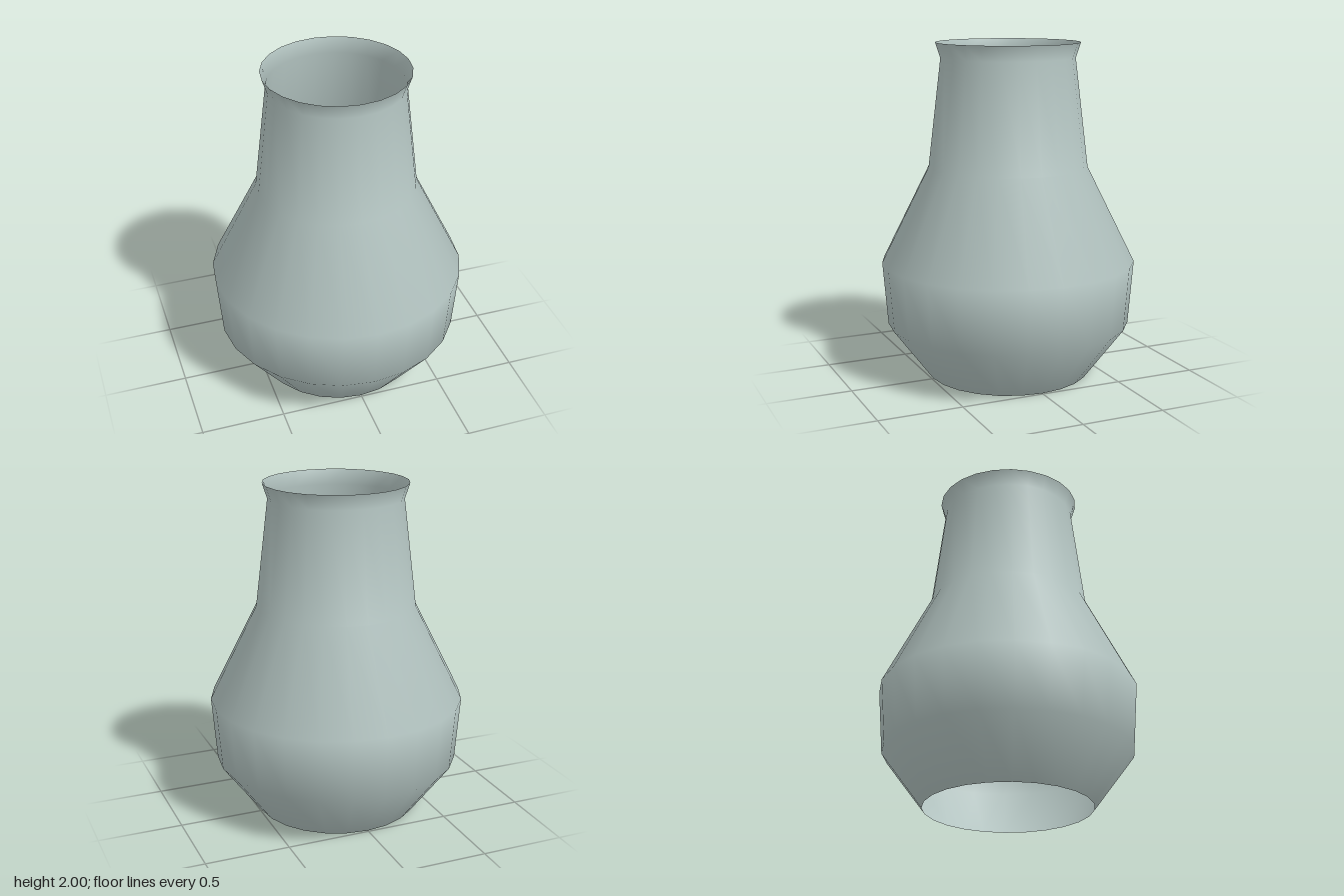
import * as THREE from 'three';

export function createModel() {
  const group = new THREE.Group();
  group.name = 'vase';

  const glaze = new THREE.MeshStandardMaterial({ color: 0xb4c5c2, side: THREE.DoubleSide });
  glaze.name = 'pale grey green';

  // Thin open shell: radius and height from the open foot to the flared lip
  const profile = [
    [0.49, 0],
    [0.73, 0.32],
    [0.76, 0.7],
    [0.475, 1.27],
    [0.398, 1.91],
    [0.427, 2],
  ].map(([r, y]) => new THREE.Vector2(r, y));

  const body = new THREE.Mesh(new THREE.LatheGeometry(profile, 24), glaze);
  body.name = 'vaseBody';
  group.add(body);

  return group;
}
